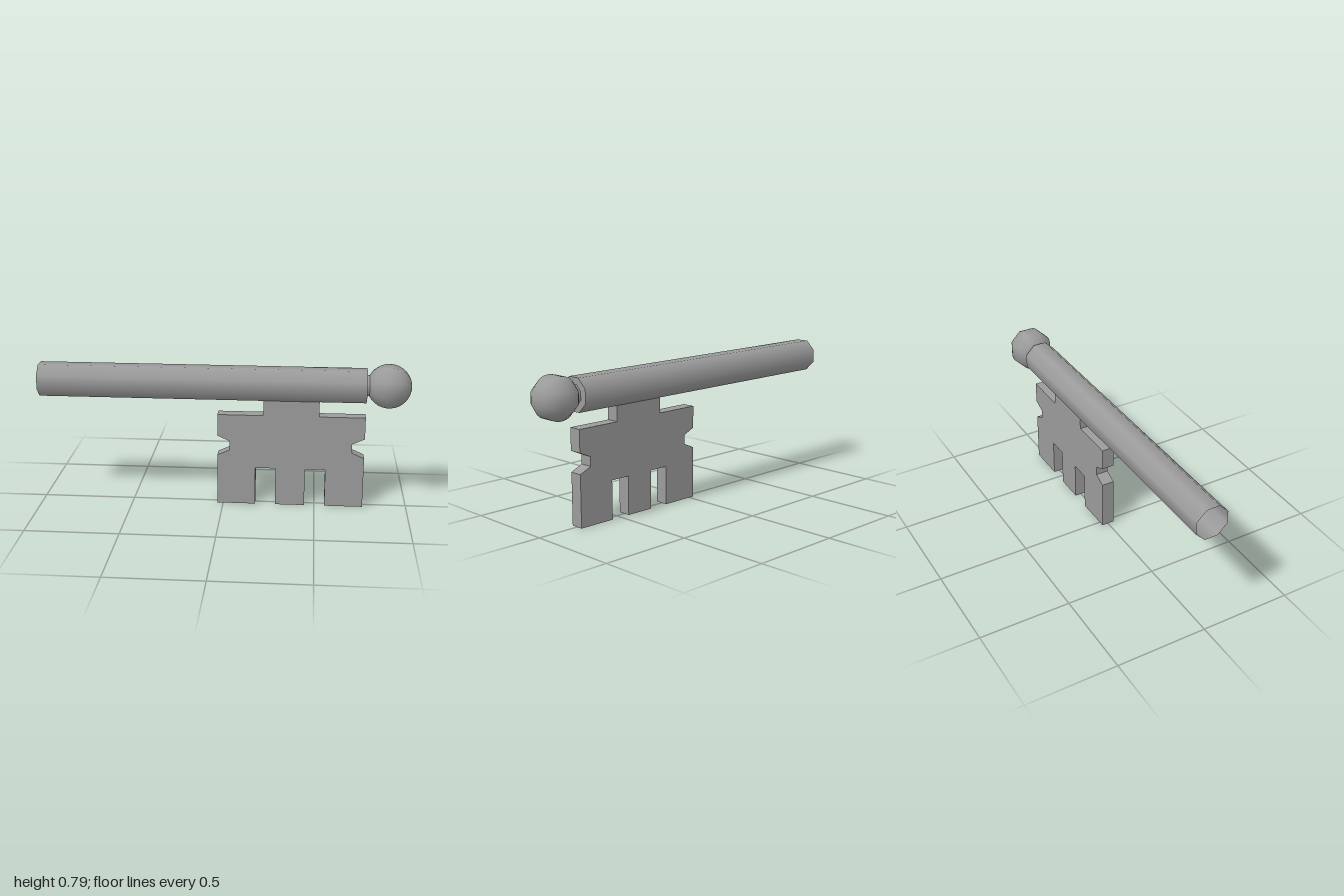
import * as THREE from 'three';

const AXIS_Y = 0.68;
const material = new THREE.MeshStandardMaterial({ color: 0x9b9b9b });
const openMaterial = new THREE.MeshStandardMaterial({ color: 0x9b9b9b, side: THREE.DoubleSide });

// Eight-sided turned part along x; profile is a list of [radius, x].
function turned(name, profile, mat = material) {
  const points = profile.map(([r, x]) => new THREE.Vector2(r, x));
  const geometry = new THREE.LatheGeometry(points, 8, Math.PI / 8);
  geometry.rotateZ(-Math.PI / 2);
  const mesh = new THREE.Mesh(geometry, mat);
  mesh.name = name;
  mesh.position.y = AXIS_Y;
  return mesh;
}

export function createModel() {
  const group = new THREE.Group();
  group.name = 'key';

  // Shaft, open at the far end, with a flat shoulder at the tip
  const shaftR = 0.094, neckR = 0.056, shoulderX = 0.763;
  group.add(turned('shaft', [[shaftR, -1], [shaftR, shoulderX]], openMaterial));
  group.add(turned('shoulder', [[shaftR, shoulderX], [neckR, shoulderX]]));

  // Neck and ball
  const ballR = 0.119, ballX = 0.881;
  const start = Math.asin(neckR / ballR);
  const ball = [];
  const steps = 14;
  for (let i = 0; i <= steps; i++) {
    const a = start + (Math.PI - start) * i / steps;
    ball.push([i === steps ? 0 : ballR * Math.sin(a), ballX - ballR * Math.cos(a)]);
  }
  group.add(turned('neck', [[neckR, shoulderX], ball[0]]));
  group.add(turned('ball', ball));

  // Bit: right half of the outline, mirrored about its centre line
  const half = [
    [0.08, 0], [0.08, 0.21], [0.19, 0.21], [0.19, 0], [0.397, 0],
    [0.397, 0.28], [0.33, 0.31], [0.33, 0.36], [0.397, 0.39],
    [0.397, 0.51], [0.15, 0.51], [0.15, 0.6],
  ];
  const outline = [...half, ...half.map(([x, y]) => [-x, y]).reverse()];
  const shape = new THREE.Shape(outline.map(([x, y]) => new THREE.Vector2(x, y)));
  const depth = 0.07;
  const bit = new THREE.Mesh(
    new THREE.ExtrudeGeometry(shape, { depth, bevelEnabled: false }), material);
  bit.name = 'bit';
  bit.position.set(0.366, 0, -depth / 2);
  group.add(bit);

  return group;
}
